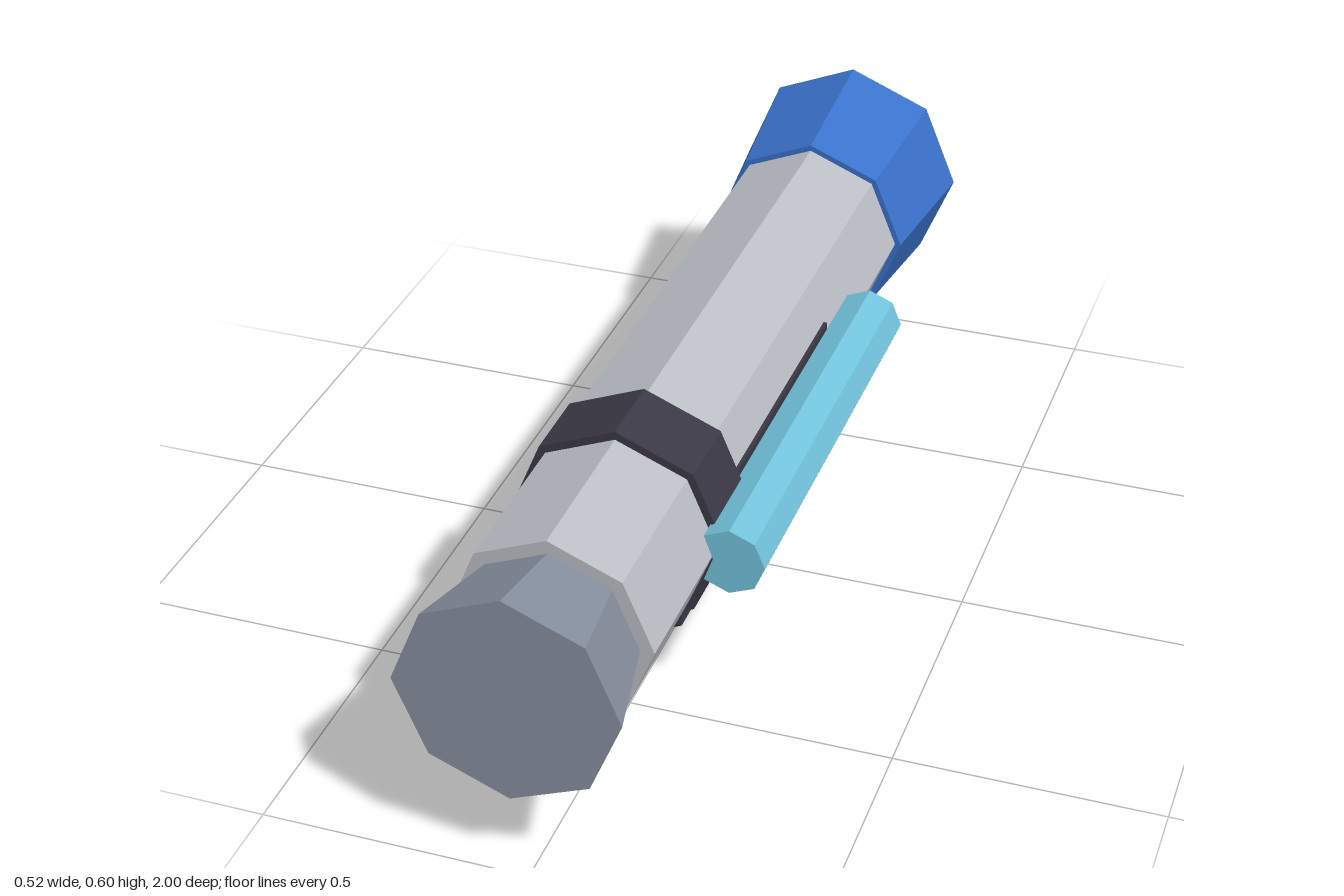
import * as THREE from 'three';
import { toCreasedNormals } from 'three/addons/utils/BufferGeometryUtils.js';

const CX = -0.028, CY = 0.368; // axis of the barrel
const BORE = 0.137;

const mat = (name, color) => {
  const m = new THREE.MeshStandardMaterial({ color });
  m.name = name;
  return m;
};

// Keeps facets crisp while the round bore stays smooth
const crisp = (g) => toCreasedNormals(g, 0.35);

// Tapered prism along z, with a corner pointing straight up
function prism(rBack, rFront, zBack, zFront, open = false, sides = 8) {
  const g = new THREE.CylinderGeometry(rFront, rBack, zFront - zBack, sides, 1, open);
  g.rotateX(Math.PI / 2);
  g.translate(0, 0, (zBack + zFront) / 2);
  return g;
}

function polygon(target, r, sides) {
  for (let i = 0; i < sides; i++) {
    const a = (i / sides) * Math.PI * 2;
    if (i === 0) target.moveTo(r, 0);
    else target.lineTo(r * Math.cos(a), r * Math.sin(a));
  }
  target.closePath();
  return target;
}

// Flat octagonal ring facing +z or -z
function ring(rOuter, rInner, innerSides, z, faceBack) {
  const shape = polygon(new THREE.Shape(), rOuter, 8);
  shape.holes.push(polygon(new THREE.Path(), rInner, innerSides));
  const g = new THREE.ShapeGeometry(shape);
  if (faceBack) g.rotateY(Math.PI);
  return g.translate(0, 0, z);
}

// Inward-facing round tube wall
const bore = (zBack, zFront) => prism(BORE, BORE, zBack, zFront, true, 32).scale(-1, 1, 1);

export function createModel() {
  const model = new THREE.Group();
  const bodyGrey = mat('body grey', 0xbcbfc6);
  const capGrey = mat('cap grey', 0x8790a0);
  const blue = mat('muzzle blue', 0x3a72cc);
  const cyan = mat('scope cyan', 0x72c4dc);
  const dark = mat('dark trim', 0x3b3946);

  const add = (name, geometry, material, parent = model) => {
    const m = new THREE.Mesh(crisp(geometry), material);
    m.name = name;
    parent.add(m);
    return m;
  };

  // Everything centred on the barrel axis
  const barrel = new THREE.Group();
  barrel.name = 'barrel';
  barrel.position.set(CX, CY, 0);
  model.add(barrel);

  add('body', prism(0.188, 0.188, -0.69, 0.8, true), bodyGrey, barrel);
  add('bodyFrontRim', ring(0.188, 0.15, 8, 0.8, false), bodyGrey, barrel);
  add('bodyBore', bore(-0.69, 0.7), bodyGrey, barrel);
  add('boreEnd', new THREE.CircleGeometry(BORE, 32).rotateY(Math.PI).translate(0, 0, 0.7), bodyGrey, barrel);
  add('frontCap', prism(0.162, 0.204, 0.8, 1), capGrey, barrel);
  add('band', prism(0.204, 0.204, 0.325, 0.475), dark, barrel);
  // keep the bore clear: the band is hidden inside the barrel wall
  barrel.getObjectByName('band').geometry = crisp(prism(0.204, 0.204, 0.325, 0.475, true));
  add('bandFront', ring(0.204, 0.18, 8, 0.475, false), dark, barrel);
  add('bandBack', ring(0.204, 0.18, 8, 0.325, true), dark, barrel);

  // Flared rear muzzle with a round hole
  add('muzzle', prism(0.234, 0.2, -1, -0.69, true), blue, barrel);
  add('muzzleEnd', ring(0.234, BORE, 32, -1, true), blue, barrel);
  add('muzzleShoulder', ring(0.2, 0.18, 8, -0.69, false), blue, barrel);
  add('muzzleBore', bore(-1, -0.69), blue, barrel);

  // Side scope: octagon with its inner corner pushed in to seat on the body
  const section = new THREE.Shape();
  for (let i = 0; i < 8; i++) {
    const a = (i / 8) * Math.PI * 2;
    const x = i === 4 ? -0.03 : 0.066 * Math.cos(a);
    const y = 0.066 * Math.sin(a);
    if (i === 0) section.moveTo(x, y);
    else section.lineTo(x, y);
  }
  section.closePath();
  const scope = new THREE.ExtrudeGeometry(section, { depth: 0.885, bevelEnabled: false });
  add('scope', scope.translate(0.194, CY, -0.375), cyan);

  // Thin rail between body and scope
  add('scopeRail', new THREE.BoxGeometry(0.02, 0.11, 0.575).translate(0.134, CY, 0.042), dark);

  // Grip with a chamfered foot
  add('grip', new THREE.BoxGeometry(0.11, 0.185, 0.22).translate(CX, 0.1275, 0.18), dark);
  const foot = new THREE.BoxGeometry(0.11, 0.035, 0.22);
  const p = foot.attributes.position;
  for (let i = 0; i < p.count; i++) {
    if (p.getY(i) < 0) {
      p.setX(i, Math.sign(p.getX(i)) * 0.022);
      p.setZ(i, Math.sign(p.getZ(i)) * 0.078);
    }
  }
  add('gripFoot', foot.translate(CX, 0.0175, 0.18), dark);

  return model;
}
